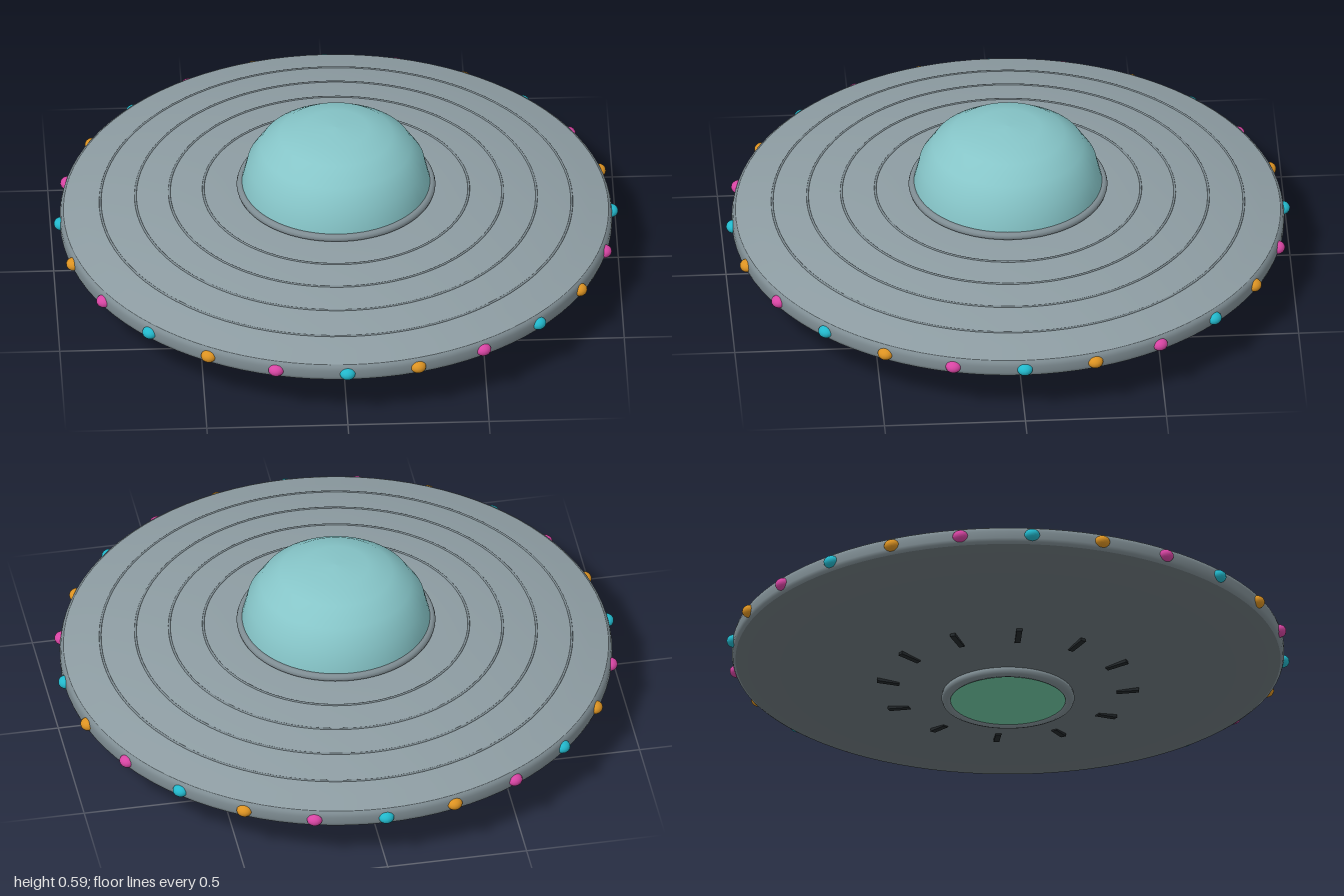
import * as THREE from 'three';

const HULL = 0x8d9ca2, BELLY = 0x6c777c, TRIM = 0x7f8d93, DARK = 0x23282b;
const LIGHTS = [0x22b8cc, 0xdd9322, 0xd845a4];

const material = (color) => new THREE.MeshStandardMaterial({ color });

function add(parent, name, geometry, mat) {
  const mesh = new THREE.Mesh(geometry, mat);
  mesh.name = name;
  parent.add(mesh);
  return mesh;
}

// Profiles run from bottom to top so the faces point outwards
function lathe(points, segments = 96) {
  return new THREE.LatheGeometry(points.map(([r, y]) => new THREE.Vector2(r, y)), segments);
}

function ring(parent, name, radius, tube, y, mat) {
  const mesh = add(parent, name, new THREE.TorusGeometry(radius, tube, 10, 96), mat);
  mesh.rotation.x = Math.PI / 2;
  mesh.position.y = y;
  return mesh;
}

export function createModel() {
  const saucer = new THREE.Group();
  saucer.name = 'flyingSaucer';
  const hull = material(HULL), belly = material(BELLY), trim = material(TRIM), dark = material(DARK);

  // Saucer shell: underside, rim band and upper deck
  const deck = [[0.965, 0.235], [0.9, 0.252], [0.835, 0.269], [0.71, 0.294], [0.59, 0.312],
    [0.47, 0.326], [0.34, 0.335], [0, 0.338]];
  add(saucer, 'underside', lathe([[0, 0.03], [0.235, 0.033], [0.35, 0.053], [0.47, 0.077],
    [0.62, 0.101], [0.76, 0.124], [0.88, 0.147], [0.965, 0.172]]), belly);
  add(saucer, 'rimBand', lathe([[0.965, 0.172], [0.974, 0.178], [0.978, 0.19], [0.978, 0.215],
    [0.974, 0.229], [0.965, 0.235]]), trim);
  add(saucer, 'upperDeck', lathe(deck), hull);

  // Thin concentric panel seams, set just proud of the deck
  for (const [r, y] of deck.slice(2, 6)) ring(saucer, 'deckSeam', r, 0.004, y, trim);

  // Cockpit canopy and its collar
  add(saucer, 'canopy', lathe([[0.333, 0.335], [0.333, 0.36], [0.314, 0.44], [0.268, 0.51],
    [0.2, 0.558], [0.115, 0.584], [0, 0.59]], 64), material(0x86c5c8));
  ring(saucer, 'canopyCollar', 0.338, 0.014, 0.347, trim);

  // Landing hatch: rounded ring around a shallow glowing lens
  add(saucer, 'hatchRing', lathe([[0.2, 0.02], [0.205, 0.006], [0.218, 0.003], [0.231, 0.008],
    [0.236, 0.02], [0.233, 0.032], [0.22, 0.037]]), trim);
  const lens = add(saucer, 'hatchLens', new THREE.SphereGeometry(0.206, 48, 16), material(0x6fc9a3));
  lens.scale.y = 0.06;
  lens.position.y = 0.0125;

  // Radial vents under the hull
  for (let i = 0; i < 12; i++) {
    const pivot = new THREE.Group();
    pivot.name = 'ventPivot';
    pivot.rotation.y = (i * Math.PI) / 6;
    const vent = add(pivot, 'vent', new THREE.BoxGeometry(0.08, 0.014, 0.02), dark);
    vent.position.set(0.425, 0.067, 0);
    vent.rotation.z = 0.12;
    saucer.add(pivot);
  }

  // Coloured lights around the rim, starting at the front
  const bulb = new THREE.SphereGeometry(1, 16, 12).scale(0.028, 0.022, 0.026);
  const lightMaterials = LIGHTS.map(material);
  for (let i = 0; i < 24; i++) {
    const a = (i * Math.PI) / 12;
    const light = add(saucer, 'rimLight', bulb, lightMaterials[i % 3]);
    light.position.set(0.974 * Math.sin(a), 0.203, 0.974 * Math.cos(a));
    light.rotation.y = a;
  }
  return saucer;
}
